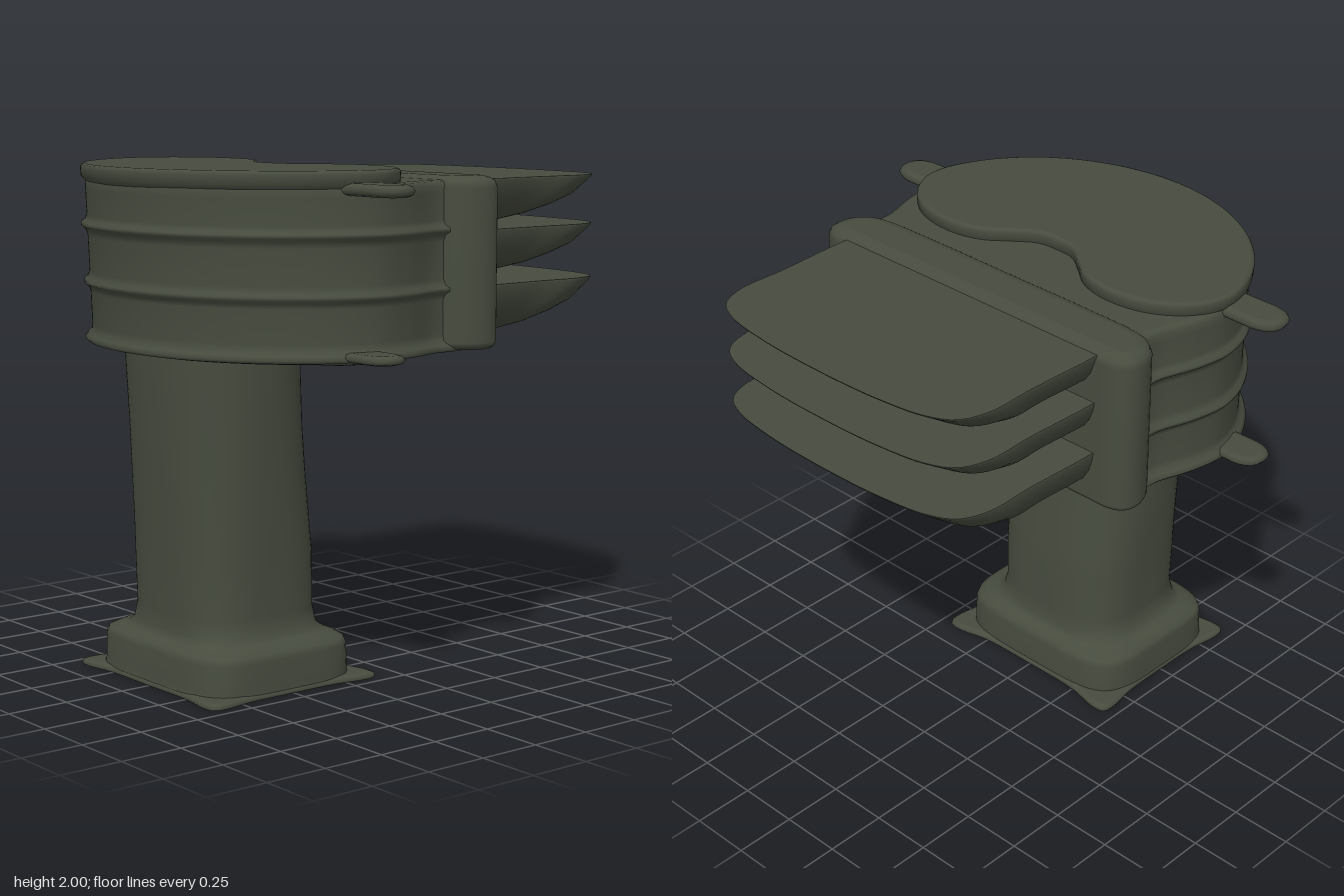
import * as THREE from 'three';

const olive = new THREE.MeshStandardMaterial({ color: 0x474c3f });
olive.name = 'dark olive';

// Closed plan outline [x, z] from half of it, running front centre -> right side -> back centre
function outline(half, n = 144) {
  const mirrored = half.slice(1, -1).reverse().map(([x, z]) => [-x, z]);
  const pts = [...half, ...mirrored].map(([x, z]) => new THREE.Vector3(x, 0, z));
  return new THREE.CatmullRomCurve3(pts, true, 'centripetal')
    .getSpacedPoints(n).slice(0, n).map(p => [p.x, p.z]);
}

// Push an outline outwards by d
function offset(ring, d) {
  const n = ring.length;
  return ring.map(([x, z], i) => {
    const a = ring[(i + n - 1) % n], b = ring[(i + 1) % n];
    const tx = b[0] - a[0], tz = b[1] - a[1], l = Math.hypot(tx, tz) || 1;
    return [x - (tz / l) * d, z + (tx / l) * d];
  });
}

// Rounded-square outline
function squircle(a, b, zc, power, n = 96) {
  return Array.from({ length: n }, (_, i) => {
    const t = (i / n) * Math.PI * 2, s = Math.sin(t), c = Math.cos(t);
    const k = Math.pow(Math.pow(Math.abs(s), power) + Math.pow(Math.abs(c), power), -1 / power);
    return [a * s * k, zc + b * c * k];
  });
}

// Skin a stack of level outlines (bottom to top) and close both ends; layers are [y, ring]
function loft(name, layers, hubZ) {
  const n = layers[0][1].length, pos = [], idx = [];
  for (const [y, ring] of layers) for (const [x, z] of ring) pos.push(x, y, z);
  for (let j = 0; j < layers.length - 1; j++) {
    for (let i = 0; i < n; i++) {
      const a = j * n + i, b = j * n + (i + 1) % n;
      idx.push(a, b, b + n, a, b + n, a + n);
    }
  }
  for (const top of [false, true]) {
    const [y, ring] = layers[top ? layers.length - 1 : 0], hub = pos.length / 3;
    pos.push(0, y, hubZ);
    for (const [x, z] of ring) pos.push(x, y, z);
    for (let i = 0; i < n; i++) {
      const a = hub + 1 + i, b = hub + 1 + (i + 1) % n;
      idx.push(hub, top ? a : b, top ? b : a);
    }
  }
  const g = new THREE.BufferGeometry();
  g.setAttribute('position', new THREE.Float32BufferAttribute(pos, 3));
  g.setIndex(idx);
  g.computeVertexNormals();
  const mesh = new THREE.Mesh(g, olive);
  mesh.name = name;
  return mesh;
}

export function createModel() {
  const model = new THREE.Group();
  model.name = 'finnedHousing';

  // Drum wall with raised ribs, its front leaning in towards the bottom
  const drum = outline([[0, 0.97], [0.3, 0.92], [0.55, 0.77], [0.71, 0.57], [0.775, 0.37], [0.76, 0.22],
    [0.71, 0.05], [0.7, -0.08], [0.64, -0.14], [0.3, -0.15], [0, -0.15]], 200);
  const lean = (ring, y) => ring.map(([x, z]) => [x, z > 0.3 ? 0.3 + (z - 0.3) * (1 - (1.95 - y) * 0.085) : z]);
  const drumProfile = [[1.293, -0.07], [1.296, -0.02], [1.303, 0.02], [1.315, 0.032], [1.33, 0.02], [1.345, 0.003], [1.37, 0],
    [1.5, 0], [1.52, 0.008], [1.532, 0.023], [1.545, 0.023], [1.557, 0.008], [1.58, 0],
    [1.72, 0], [1.745, 0.008], [1.757, 0.024], [1.77, 0.024], [1.782, 0.008], [1.8, 0],
    [1.9, 0], [1.93, 0], [1.945, -0.01], [1.95, -0.03]];
  model.add(loft('drum', drumProfile.map(([y, d]) => [y, lean(offset(drum, d), y)]), 0.4));

  // Kidney-shaped lid
  const lid = outline([[0, 0.99], [0.3, 0.935], [0.55, 0.79], [0.72, 0.58], [0.78, 0.38], [0.73, 0.24], [0.6, 0.135],
    [0.43, 0.1], [0.28, 0.13], [0.17, 0.21], [0.09, 0.265], [0, 0.275]]);
  model.add(loft('lid', [[1.93, -0.02], [1.95, 0], [1.985, 0.002], [1.995, -0.004], [2, -0.016]]
    .map(([y, d]) => [y, offset(lid, d)]), 0.5));

  // Rounded cross bar behind the drum
  const bar = outline([[0, 0.02], [0.4, 0.02], [0.66, 0.01], [0.73, -0.015], [0.785, -0.07], [0.805, -0.14],
    [0.79, -0.2], [0.74, -0.23], [0.6, -0.235], [0.3, -0.235], [0, -0.235]]);
  model.add(loft('crossBar', [[1.305, -0.05], [1.308, -0.025], [1.318, -0.008], [1.335, 0], [1.92, 0],
    [1.945, -0.01], [1.958, -0.03], [1.965, -0.06]].map(([y, d]) => [y, offset(bar, d)]), -0.11));

  // Cooling fins: flat on top, hull-shaped below; rows are [share of depth, half width, back z]
  const hull = [[1, 0.42, -0.46], [0.95, 0.49, -0.54], [0.8, 0.56, -0.66], [0.62, 0.605, -0.77],
    [0.42, 0.63, -0.88], [0.2, 0.645, -0.94], [0.04, 0.652, -0.985], [0, 0.65, -0.99]];
  const finRing = (w, b) => {
    const l = -0.15 - b;
    return outline([[0, -0.15], [w * 0.5, -0.15], [w * 0.97, -0.15], [w, -0.17], [w, b + l * 0.5], [w, b + l * 0.25],
      [w * 0.93, b + l * 0.12], [w * 0.78, b + l * 0.055], [w * 0.45, b + l * 0.013], [0, b]], 120);
  };
  for (const [name, top, depth] of [['upperFin', 1.945, 0.185], ['middleFin', 1.75, 0.185], ['lowerFin', 1.535, 0.21]]) {
    model.add(loft(name, hull.map(([t, w, b]) => [top - t * depth, finRing(w, b)]), -0.3));
  }

  // Side tabs, each pair one strip running through the drum
  for (const [name, y, reach, t] of [['upperTabs', 1.932, 1, 0.023], ['lowerTabs', 1.322, 0.95, 0.018]]) {
    const strip = outline([[0, 0.515], [0.4, 0.515], [0.8, 0.515], [reach - 0.07, 0.512], [reach - 0.018, 0.485], [reach, 0.43],
      [reach - 0.018, 0.375], [reach - 0.07, 0.348], [0.8, 0.345], [0.4, 0.345], [0, 0.345]]);
    model.add(loft(name, [[-1, -0.03], [-0.7, -0.01], [0, 0], [0.7, -0.01], [1, -0.03]]
      .map(([k, d]) => [y + k * t, offset(strip, d)]), 0.43));
  }

  // Shallow swellings under the drum
  for (const side of [-1, 1]) {
    const swell = new THREE.Mesh(new THREE.SphereGeometry(1, 32, 16), olive);
    swell.name = side > 0 ? 'leftSwelling' : 'rightSwelling';
    swell.scale.set(0.19, 0.022, 0.2);
    swell.position.set(side * 0.59, 1.303, 0.4);
    model.add(swell);
  }

  // Post with its foot collar: [y, half width, back z, front z, squareness]
  const post = [[0.015, 0.432, 0.145, 0.875, 5], [0.04, 0.43, 0.145, 0.87, 5], [0.14, 0.428, 0.148, 0.868, 5],
    [0.165, 0.42, 0.158, 0.858, 5], [0.18, 0.395, 0.18, 0.83, 4.5], [0.19, 0.355, 0.2, 0.815, 4], [0.215, 0.33, 0.215, 0.805, 3.6],
    [0.28, 0.322, 0.218, 0.803, 3.2], [0.5, 0.33, 0.217, 0.813, 3], [0.62, 0.335, 0.225, 0.82, 2.8], [0.8, 0.343, 0.24, 0.832, 2.6],
    [1, 0.353, 0.252, 0.845, 2.4], [1.2, 0.365, 0.26, 0.857, 2.3], [1.32, 0.37, 0.262, 0.862, 2.3]];
  model.add(loft('post', post.map(([y, a, back, front, p]) =>
    [y, squircle(a, (front - back) / 2, (front + back) / 2, p)]), 0.52));

  // Thin foot plate with drawn-out corners
  const foot = outline([[0, 0.88], [0.25, 0.88], [0.4, 0.9], [0.45, 0.89], [0.46, 0.84], [0.44, 0.7], [0.437, 0.5],
    [0.44, 0.3], [0.46, 0.16], [0.45, 0.11], [0.4, 0.1], [0.25, 0.13], [0, 0.135]]);
  model.add(loft('footPlate', [[0, -0.004], [0.006, 0], [0.018, -0.004], [0.024, -0.02]]
    .map(([y, d]) => [y, offset(foot, d)]), 0.5));

  return model;
}
